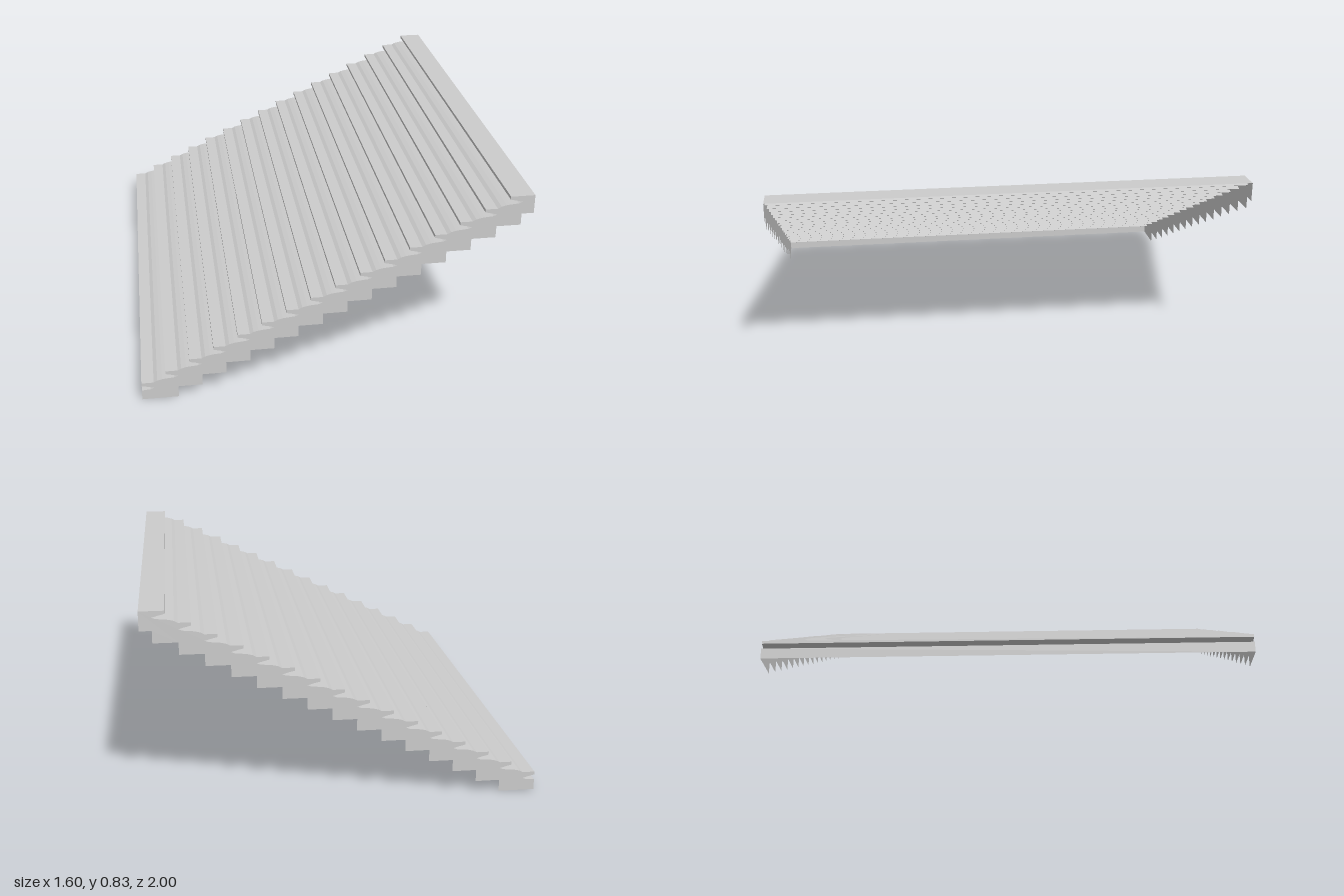
import * as THREE from 'three';

const STEPS = 16, RUN = 0.1, RISE = 0.05, WIDTH = 2, TOP = 0.079;
const LEFT = -0.8, RIGHT = 0.8;

// Upper edge of one step, relative to its nose line and base level:
// undercut below the nosing, then the thin nosing
const UNDERCUT = [[0, 0.044], [0.035, 0.047], [0.05, 0.053], [0.025, 0.06], [0, 0.066], [0, TOP]];
// Flat tread, then the small rounded rise leading under the next nosing
const TREAD = [[0.05, TOP], [0.065, 0.087], [0.085, 0.092]];

// Line of the treads and nosings, climbing towards +x
function treadLine() {
  const pts = [[LEFT, 0]];
  for (let i = 0; i < STEPS; i++) {
    const step = i < STEPS - 1 ? [...UNDERCUT, ...TREAD] : [...UNDERCUT, [RUN, TOP]];
    for (const [dx, dy] of step) pts.push([LEFT + i * RUN + dx, i * RISE + dy]);
  }
  return pts;
}

// Stepped lower edge of the side panels, descending back towards -x
function lowerLine() {
  const pts = [[RIGHT, (STEPS - 1) * RISE]];
  for (let i = STEPS - 2; i >= 0; i--) {
    const x = LEFT + 0.15 + i * RUN;
    pts.push([x, (i + 1) * RISE], [x, i * RISE]);
  }
  return pts;
}

export function createModel() {
  const group = new THREE.Group();
  group.name = 'staircase';
  const material = new THREE.MeshStandardMaterial({ color: 0xcccccc, flatShading: true, side: THREE.DoubleSide });
  const line = treadLine();

  // Thin folded sheet of treads and nosings, open underneath and at the high end
  const sheet = new THREE.PlaneGeometry(1, WIDTH, line.length - 1, 1);
  const pos = sheet.attributes.position;
  for (let i = 0; i < pos.count; i++) {
    const [x, y] = line[i % line.length];
    pos.setXYZ(i, x, y, -pos.getY(i));
  }
  sheet.computeVertexNormals();
  const treads = new THREE.Mesh(sheet, material);
  treads.name = 'treads';
  group.add(treads);

  // Flat side panels closing the two ends of the steps
  const outline = [...line, ...lowerLine()].map(([x, y]) => new THREE.Vector2(x, y));
  const panel = new THREE.ShapeGeometry(new THREE.Shape(outline));
  for (const side of [1, -1]) {
    const mesh = new THREE.Mesh(panel, material);
    mesh.position.z = side * WIDTH / 2;
    mesh.name = side > 0 ? 'frontSidePanel' : 'backSidePanel';
    group.add(mesh);
  }
  return group;
}
